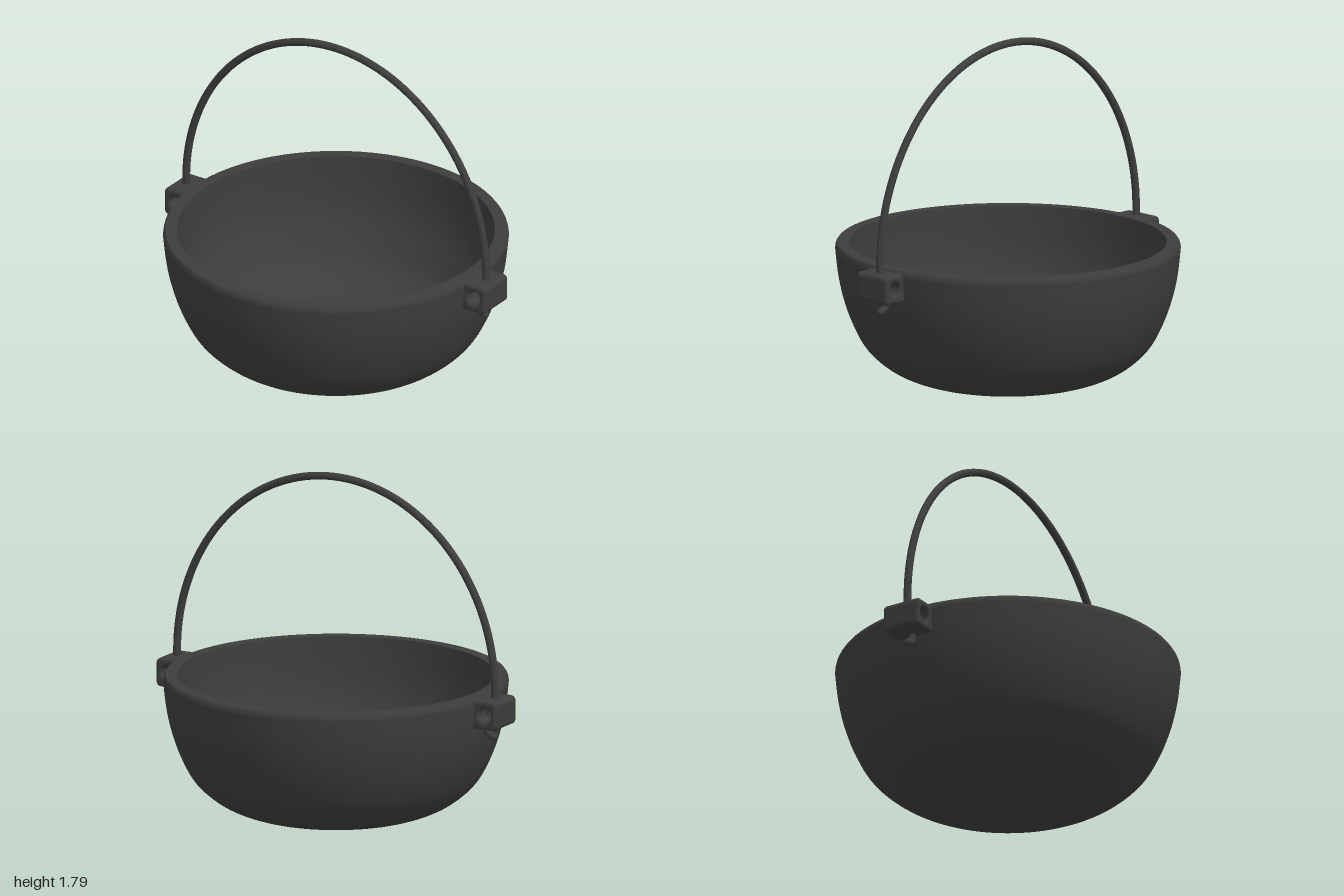
import * as THREE from 'three';

const V2 = (p) => new THREE.Vector2(p[0], p[1]);
const V3 = (x, y) => new THREE.Vector3(x, y, 0);

export function createModel() {
  const group = new THREE.Group();
  const iron = new THREE.MeshStandardMaterial({ color: 0x3d3d3d });
  iron.name = 'castIron';

  const add = (name, geometry) => {
    const mesh = new THREE.Mesh(geometry, iron);
    mesh.name = name;
    group.add(mesh);
    return mesh;
  };
  const lathe = (name, points) => add(name, new THREE.LatheGeometry(points, 96));
  const smooth = (pts, n) => new THREE.SplineCurve(pts.map(V2)).getPoints(n);

  // Pot: separate shells so that the rim edges stay crisp
  lathe('potBase', [[0, 0], [0.3, 0]].map(V2));
  lathe('potOuterWall', smooth([
    [0.3, 0], [0.45, 0.02], [0.6, 0.08], [0.72, 0.18], [0.79, 0.3],
    [0.838, 0.43], [0.868, 0.56], [0.884, 0.7],
  ], 32));
  lathe('potRimEdge', smooth([[0.884, 0.7], [0.881, 0.718], [0.872, 0.732]], 4));
  lathe('potRim', [[0.872, 0.732], [0.812, 0.732]].map(V2));
  lathe('potInnerWall', smooth([
    [0.812, 0.732], [0.8, 0.56], [0.775, 0.43], [0.73, 0.32], [0.66, 0.2],
    [0.55, 0.12], [0.4, 0.075], [0.2, 0.06], [0, 0.06],
  ], 36));

  // Lug: rounded block with a round eye running front to back
  const x0 = 0.855, x1 = 1, y0 = 0.57, y1 = 0.72, r = 0.03;
  const lug = new THREE.Shape();
  lug.moveTo(x0, y0);
  lug.lineTo(x1 - r, y0);
  lug.quadraticCurveTo(x1, y0, x1, y0 + r);
  lug.lineTo(x1, y1 - r);
  lug.quadraticCurveTo(x1, y1, x1 - r, y1);
  lug.lineTo(x0, y1);
  lug.closePath();
  const eye = new THREE.Path();
  eye.absarc(0.93, 0.647, 0.038, 0, Math.PI * 2, true);
  lug.holes.push(eye);
  const lugGeometry = new THREE.ExtrudeGeometry(lug, {
    depth: 0.184, bevelEnabled: true, bevelThickness: 0.015, bevelSize: 0.015,
    bevelOffset: -0.015, bevelSegments: 3, curveSegments: 16,
  });
  lugGeometry.translate(0, 0, -0.092);
  add('lugLeft', lugGeometry);
  add('lugRight', lugGeometry).rotation.y = Math.PI;

  // Bail handle: arch whose ends pass through the lugs and curl outward below
  const hook = [[0.932, 0.7], [0.905, 0.665], [0.892, 0.61], [0.888, 0.56], [0.9, 0.525], [0.93, 0.513]];
  const arch = [];
  for (let i = 0; i <= 32; i++) {
    const a = (i / 32) * Math.PI;
    arch.push(V3(0.934 * Math.cos(a), 0.75 + 1.02 * Math.sin(a)));
  }
  const path = new THREE.CatmullRomCurve3([
    ...hook.slice().reverse().map(([x, y]) => V3(x, y)),
    ...arch,
    ...hook.map(([x, y]) => V3(-x, y)),
  ]);
  add('bailHandle', new THREE.TubeGeometry(path, 180, 0.02, 12, false));

  // Caps closing the two handle ends
  const cap = new THREE.SphereGeometry(0.02, 12, 8);
  for (const side of [1, -1]) {
    add(side > 0 ? 'handleTipLeft' : 'handleTipRight', cap).position.set(side * 0.93, 0.513, 0);
  }

  return group;
}
